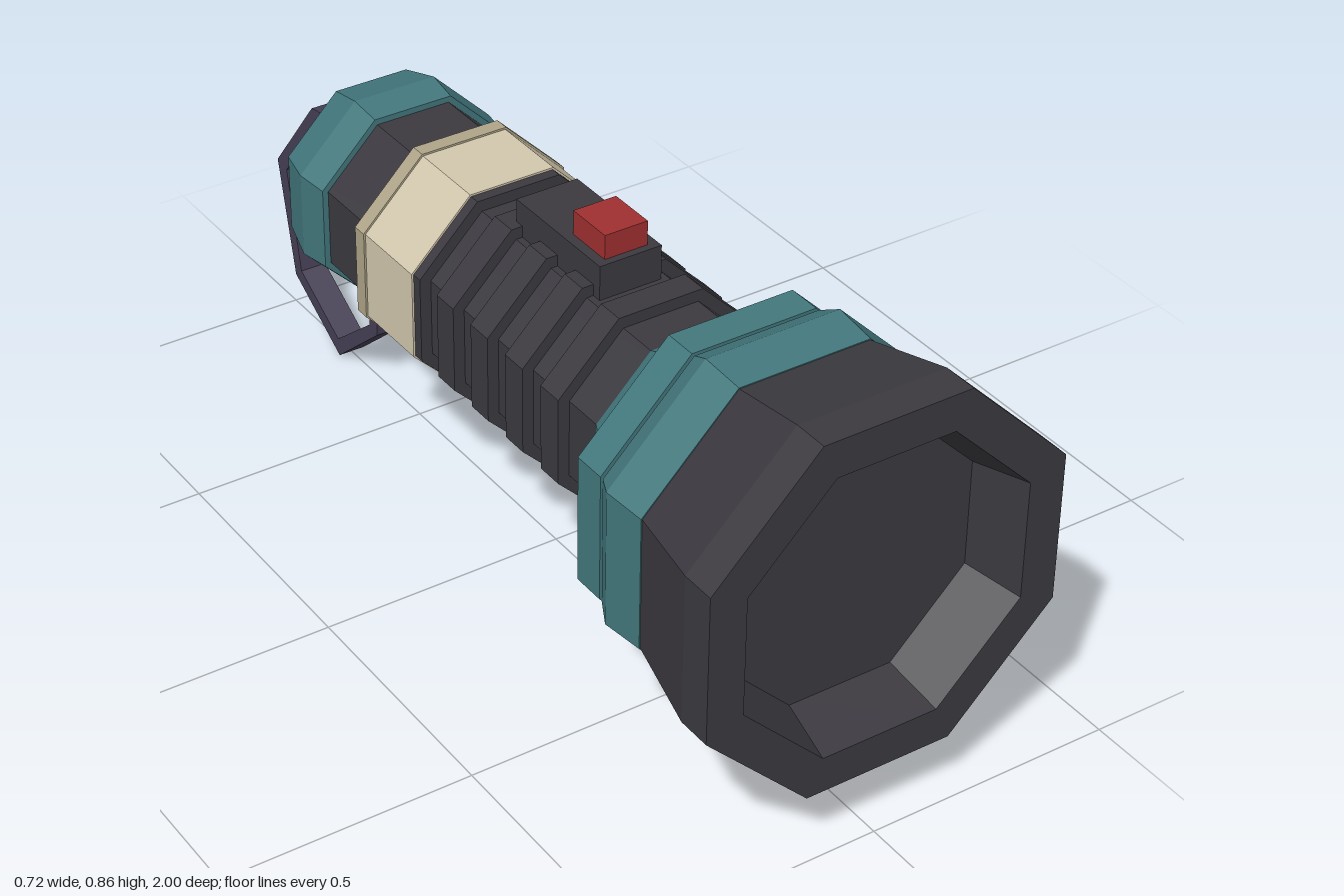
import * as THREE from 'three';

const AXIS_Y = 0.508;

function material(name, color) {
  const m = new THREE.MeshStandardMaterial({ color, flatShading: true });
  m.name = name;
  return m;
}

export function createModel() {
  const group = new THREE.Group();
  const dark = material('charcoal', 0x3b393f);
  const teal = material('teal', 0x42777c);
  const cream = material('cream', 0xd2c7ae);
  const tan = material('tan', 0xaea488);
  const red = material('red', 0x9f2f30);
  const violet = material('dark violet', 0x453f54);

  function add(name, geometry, mat) {
    const mesh = new THREE.Mesh(geometry, mat);
    mesh.name = name;
    group.add(mesh);
    return mesh;
  }

  // Octagonal turned part along z; profile is [z, flat-to-centre distance], back to front
  function turned(name, profile, mat) {
    const pts = profile.map(([z, a]) => new THREE.Vector2(a / Math.cos(Math.PI / 8), z));
    const g = new THREE.LatheGeometry(pts, 8, Math.PI / 8);
    g.rotateX(Math.PI / 2);
    g.translate(0, AXIS_Y, 0);
    return add(name, g, mat);
  }

  function ring(name, z0, z1, a, mat) {
    return turned(name, [[z0, 0], [z0, a], [z1, a], [z1, 0]], mat);
  }

  function box(name, x, y0, y1, z0, z1, mat) {
    const g = new THREE.BoxGeometry(x * 2, y1 - y0, z1 - z0);
    g.translate(0, (y0 + y1) / 2, (z0 + z1) / 2);
    return add(name, g, mat);
  }

  // Head with recessed lens
  turned('headBezel', [[0.75, 0], [0.75, 0.32], [0.93, 0.36], [1, 0.36], [1, 0.287], [0.885, 0.257]], dark);
  turned('lens', [[0.885, 0.257], [0.885, 0]], dark);

  // Stepped collar and neck
  turned('headCollar', [[0.6, 0], [0.6, 0.29], [0.615, 0.307], [0.66, 0.33], [0.75, 0.322], [0.75, 0]], teal);
  ring('collarRing', 0.54, 0.608, 0.307, teal);
  turned('neck', [[0.42, 0], [0.42, 0.191], [0.54, 0.255], [0.54, 0]], teal);

  // Barrel with grip ribs
  ring('barrel', -0.55, 0.45, 0.19, dark);
  for (let i = 0; i < 5; i++) {
    const z = 0.307 - i * 0.115;
    ring('gripRib' + (i + 1), z - 0.028, z + 0.028, 0.213, dark);
  }

  // Pale band with raised rim
  ring('band', -0.33, -0.147, 0.217, cream);
  ring('bandRim', -0.343, -0.312, 0.221, tan);

  // Tail cap
  turned('tailCap', [[-0.677, 0], [-0.677, 0.134], [-0.653, 0.188], [-0.565, 0.211], [-0.497, 0.202], [-0.497, 0]], teal);

  // Switch
  box('switchPlate', 0.065, 0.66, 0.768, -0.03, 0.24, dark);
  box('switchButton', 0.045, 0.75, 0.817, 0.125, 0.225, red);

  // Angular wrist loop, [z, y] outlines with both ends buried in the tail cap
  const outer = [[-0.6, 0.597], [-0.845, 0.55], [-0.998, 0.358], [-0.942, 0.11], [-0.77, 0.005], [-0.613, 0.14], [-0.597, 0.36]];
  const inner = [[-0.63, 0.36], [-0.642, 0.15], [-0.774, 0.043], [-0.918, 0.13], [-0.962, 0.35], [-0.828, 0.522], [-0.6, 0.565]];
  const shape = new THREE.Shape(outer.concat(inner).map(([z, y]) => new THREE.Vector2(-z, y)));
  const loop = new THREE.ExtrudeGeometry(shape, { depth: 0.056, bevelEnabled: false });
  loop.translate(0, 0, -0.028);
  loop.rotateY(Math.PI / 2);
  add('wristLoop', loop, violet);

  return group;
}
